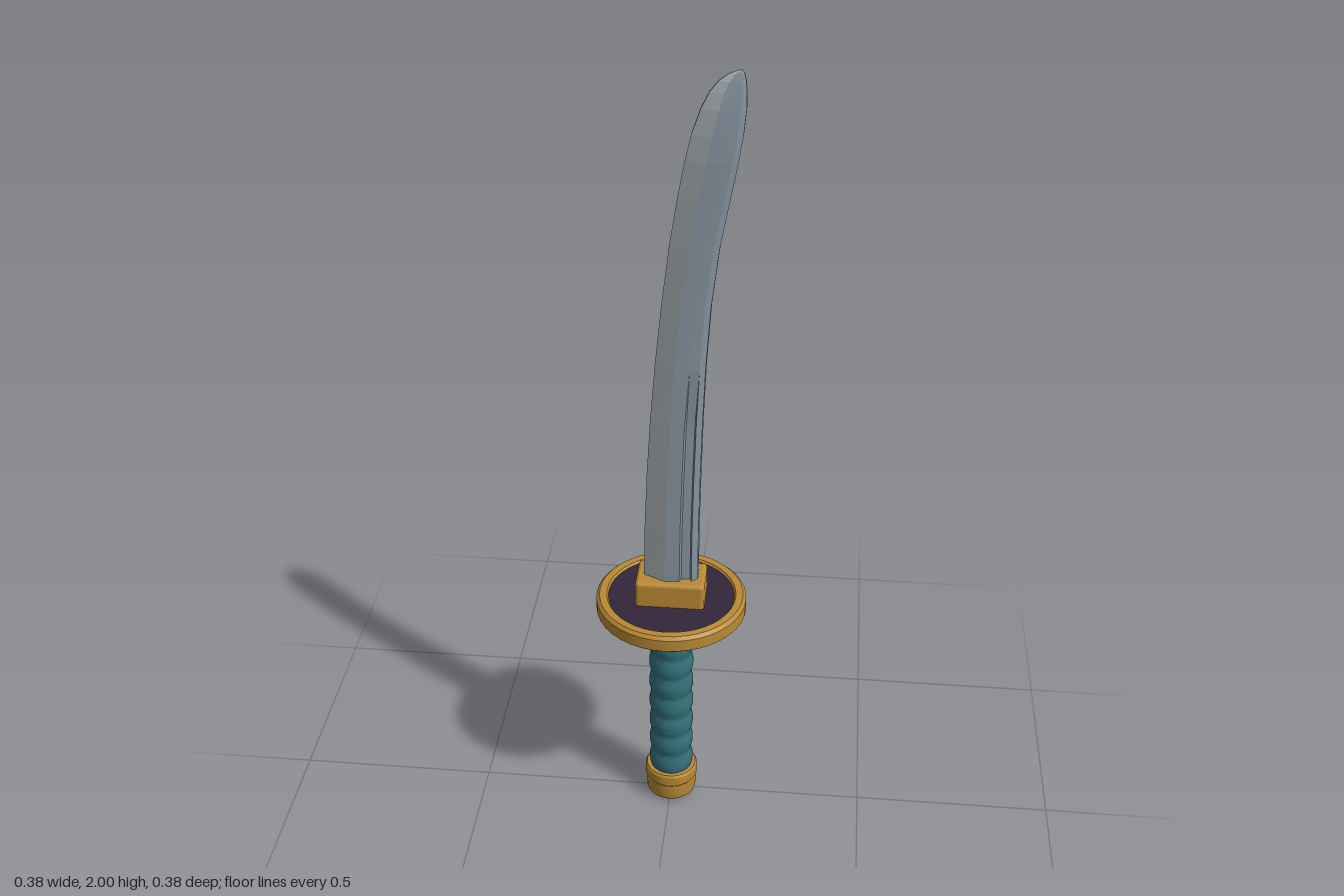
import * as THREE from 'three';
import { toCreasedNormals } from 'three/addons/utils/BufferGeometryUtils.js';
import { RoundedBoxGeometry } from 'three/addons/geometries/RoundedBoxGeometry.js';

const flat = (name, color, extra = {}) => {
  const m = new THREE.MeshStandardMaterial({ color, ...extra });
  m.name = name;
  return m;
};

// Turned part from [radius, height] pairs, listed bottom to top
function turned(points, sides = 32, crease = 0.45) {
  const g = new THREE.LatheGeometry(points.map(([r, y]) => new THREE.Vector2(r, y)), sides);
  return toCreasedNormals(g, crease);
}

// Curved blade: horizontal cross-sections, blunt edge at -x and spine at +x
function bladeGeometry() {
  // height, edge x, spine x, half thickness, groove depth
  const rows = [
    [0.66, -0.068, 0.067, 0.038, 0.011],
    [0.85, -0.064, 0.068, 0.038, 0.011],
    [1.0, -0.058, 0.071, 0.037, 0.011],
    [1.15, -0.049, 0.075, 0.036, 0.010],
    [1.3, -0.037, 0.081, 0.035, 0],
    [1.45, -0.022, 0.091, 0.034, 0],
    [1.6, -0.004, 0.109, 0.033, 0],
    [1.72, 0.015, 0.131, 0.032, 0],
    [1.8, 0.030, 0.146, 0.031, 0],
    [1.86, 0.044, 0.155, 0.027, 0],
    [1.915, 0.063, 0.160, 0.021, 0],
    [1.95, 0.080, 0.160, 0.015, 0],
    [1.975, 0.099, 0.158, 0.010, 0],
    [1.992, 0.122, 0.154, 0.005, 0],
    [2.0, 0.143, 0.149, 0.001, 0],
  ];
  // share of width, share of half thickness, inside the groove
  const half = [[0, 0.3, 0], [0.4, 1, 0], [0.67, 0.93, 0], [0.7, 0.92, 1],
    [0.86, 0.84, 1], [0.89, 0.82, 0], [1, 0.5, 0]];
  const ring = ([y, x0, x1, t, groove]) => {
    const side = half.map(([u, w, g]) => [x0 + (x1 - x0) * u, y, t * w - g * groove]);
    return [...side, ...side.map(([x, h, z]) => [x, h, -z]).reverse()];
  };
  const rings = rows.map(ring);
  const n = rings[0].length;
  const edgeFaces = [], bodyFaces = [];
  for (let i = 0; i < rings.length - 1; i++) {
    for (let j = 0; j < n; j++) {
      const k = (j + 1) % n;
      const a = rings[i][j], b = rings[i][k], c = rings[i + 1][k], d = rings[i + 1][j];
      const sharpened = j === 0 || j >= n - 2;
      (sharpened ? edgeFaces : bodyFaces).push(...a, ...b, ...c, ...a, ...c, ...d);
    }
  }
  // small cap on the point
  const top = rings[rings.length - 1];
  for (let j = 1; j < n - 1; j++) bodyFaces.push(...top[0], ...top[j], ...top[j + 1]);

  const g = new THREE.BufferGeometry();
  g.setAttribute('position', new THREE.Float32BufferAttribute([...edgeFaces, ...bodyFaces], 3));
  g.addGroup(0, edgeFaces.length / 3, 0);
  g.addGroup(edgeFaces.length / 3, bodyFaces.length / 3, 1);
  g.computeVertexNormals();
  return g;
}

export function createModel() {
  const group = new THREE.Group();
  group.name = 'sword';
  const gold = flat('gold', 0xb98a34);
  const teal = flat('teal wrap', 0x33727a);
  const plum = flat('dark plum', 0x33263a);
  const edgeSteel = flat('edge steel', 0xabb3b7);
  const steel = flat('blade steel', 0x8794a0);

  const add = (name, geometry, material) => {
    const m = new THREE.Mesh(geometry, material);
    m.name = name;
    group.add(m);
    return m;
  };

  add('blade', bladeGeometry(), [edgeSteel, steel]);

  // Block that holds the blade
  const collar = add('bladeCollar', new RoundedBoxGeometry(0.172, 0.09, 0.11, 2, 0.01), gold);
  collar.position.y = 0.66;

  // Round guard: gold rim around a dark disc
  add('guardRim', turned([[0.158, 0.604], [0.162, 0.598], [0.18, 0.598], [0.188, 0.605],
    [0.188, 0.636], [0.18, 0.644], [0.162, 0.644], [0.158, 0.638], [0.158, 0.604]], 40), gold);
  add('guardDisc', turned([[0, 0.604], [0.159, 0.604], [0.159, 0.638], [0, 0.638]], 40), plum);

  // Ring between grip and guard
  add('gripRing', turned([[0, 0.584], [0.06, 0.584], [0.064, 0.588], [0.064, 0.606]]), gold);

  // Wrapped grip with a row of soft bulges
  const bulges = 8, steps = 8, gripPoints = [];
  for (let i = 0; i <= bulges * steps; i++) {
    const t = i / steps;
    gripPoints.push([0.051 + 0.006 * Math.abs(Math.sin(Math.PI * t)), 0.08 + (0.51 * t) / bulges]);
  }
  add('grip', turned(gripPoints, 32, 0.6), teal);

  // Pommel cap with a raised band
  add('pommel', turned([[0, 0], [0.054, 0], [0.063, 0.009], [0.065, 0.018], [0.065, 0.054],
    [0.068, 0.058], [0.068, 0.084], [0.064, 0.09], [0, 0.09]]), gold);

  return group;
}
